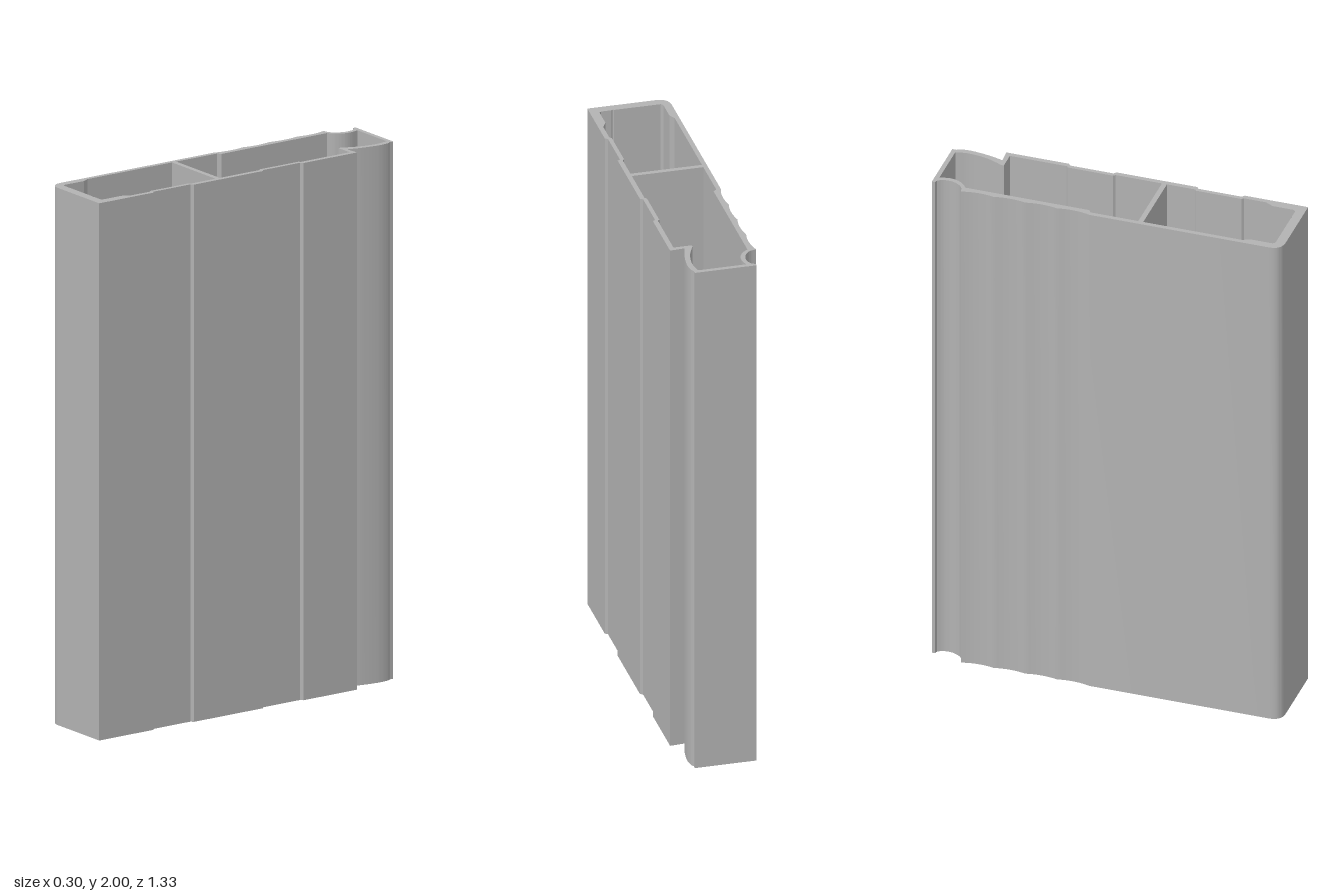
import * as THREE from 'three';
import { toCreasedNormals } from 'three/addons/utils/BufferGeometryUtils.js';

const HEIGHT = 2;

// Plan coordinates are (x, z); the shape plane holds (x, -z)
const v = ([x, z]) => new THREE.Vector2(x, -z);

// Draws a run of straight corners
const lines = (path, pts) => pts.forEach(([x, z]) => path.lineTo(x, -z));

// Draws a smooth curve on from the current point
const curve = (path, pts) => path.splineThru(pts.map(v));

function outerWall() {
  const s = new THREE.Shape();
  s.moveTo(-0.10, -0.665);
  // right face with two shallow grooves
  lines(s, [
    [0.15, 0.665], [0.15, 0.425], [0.14, 0.418], [0.14, 0.253], [0.15, 0.246],
    [0.15, -0.06], [0.14, -0.067], [0.14, -0.232], [0.15, -0.239],
    [0.15, -0.477], [0.096, -0.473],
  ]);
  // bowed tongue
  curve(s, [[0.111, -0.53], [0.12, -0.595], [0.117, -0.635], [0.109, -0.652]]);
  lines(s, [[0.109, -0.667], [-0.12, -0.667], [-0.12, -0.655], [-0.107, -0.651]]);
  // concave bead groove
  curve(s, [[-0.097, -0.63], [-0.096, -0.60], [-0.108, -0.571], [-0.126, -0.554], [-0.15, -0.547]]);
  // scalloped stretch of the left face
  const ends = [-0.547, -0.425, -0.305, -0.185, -0.06];
  for (let i = 0; i < 4; i++) {
    const x = i === 3 ? -0.15 : -0.146;
    s.quadraticCurveTo(-0.132, -(ends[i] + ends[i + 1]) / 2, x, -ends[i + 1]);
  }
  // rounded front corner
  lines(s, [[-0.15, 0.615]]);
  s.quadraticCurveTo(-0.15, -0.665, -0.10, -0.665);
  return s;
}

function rearChamber() {
  const p = new THREE.Path();
  p.moveTo(-0.133, -0.118);
  lines(p, [[-0.133, -0.062], [-0.12, -0.072], [-0.12, -0.54]]);
  curve(p, [[-0.098, -0.558], [-0.083, -0.583], [-0.078, -0.612], [-0.085, -0.65]]);
  lines(p, [[0.092, -0.65]]);
  curve(p, [[0.10, -0.60], [0.09, -0.53], [0.064, -0.466]]);
  lines(p, [
    [0.064, -0.457], [0.132, -0.457], [0.132, -0.242], [0.125, -0.235],
    [0.125, -0.064], [0.132, -0.057], [0.132, 0.118], [-0.133, 0.118],
  ]);
  return p;
}

function frontChamber() {
  const p = new THREE.Path();
  p.moveTo(-0.133, -0.137);
  lines(p, [
    [0.132, 0.137], [0.132, 0.243], [0.125, 0.25], [0.125, 0.421], [0.132, 0.428],
    [0.132, 0.512], [0.116, 0.542], [0.116, 0.622], [0.109, 0.63],
    [0.07, 0.63], [0.065, 0.634], [0.06, 0.63], // small screw line
    [-0.112, 0.63], [-0.12, 0.622], [-0.12, 0.536], [-0.133, 0.512], [-0.133, 0.137],
  ]);
  return p;
}

// The rear chamber's start point sits on the cross web
function fixStart(path) {
  const pts = path.getPoints(8);
  pts.shift();
  return new THREE.Path(pts);
}

export function createModel() {
  const group = new THREE.Group();
  group.name = 'hollowProfile';
  const grey = new THREE.MeshStandardMaterial({ color: 0xb2b2b2 });
  grey.name = 'grey';

  const shape = outerWall();
  shape.holes.push(fixStart(rearChamber()), frontChamber());

  let geo = new THREE.ExtrudeGeometry(shape, { depth: HEIGHT, bevelEnabled: false, curveSegments: 8 });
  geo.rotateX(-Math.PI / 2);
  geo = toCreasedNormals(geo, 0.45);

  const profile = new THREE.Mesh(geo, grey);
  profile.name = 'extrudedProfile';
  group.add(profile);
  return group;
}
